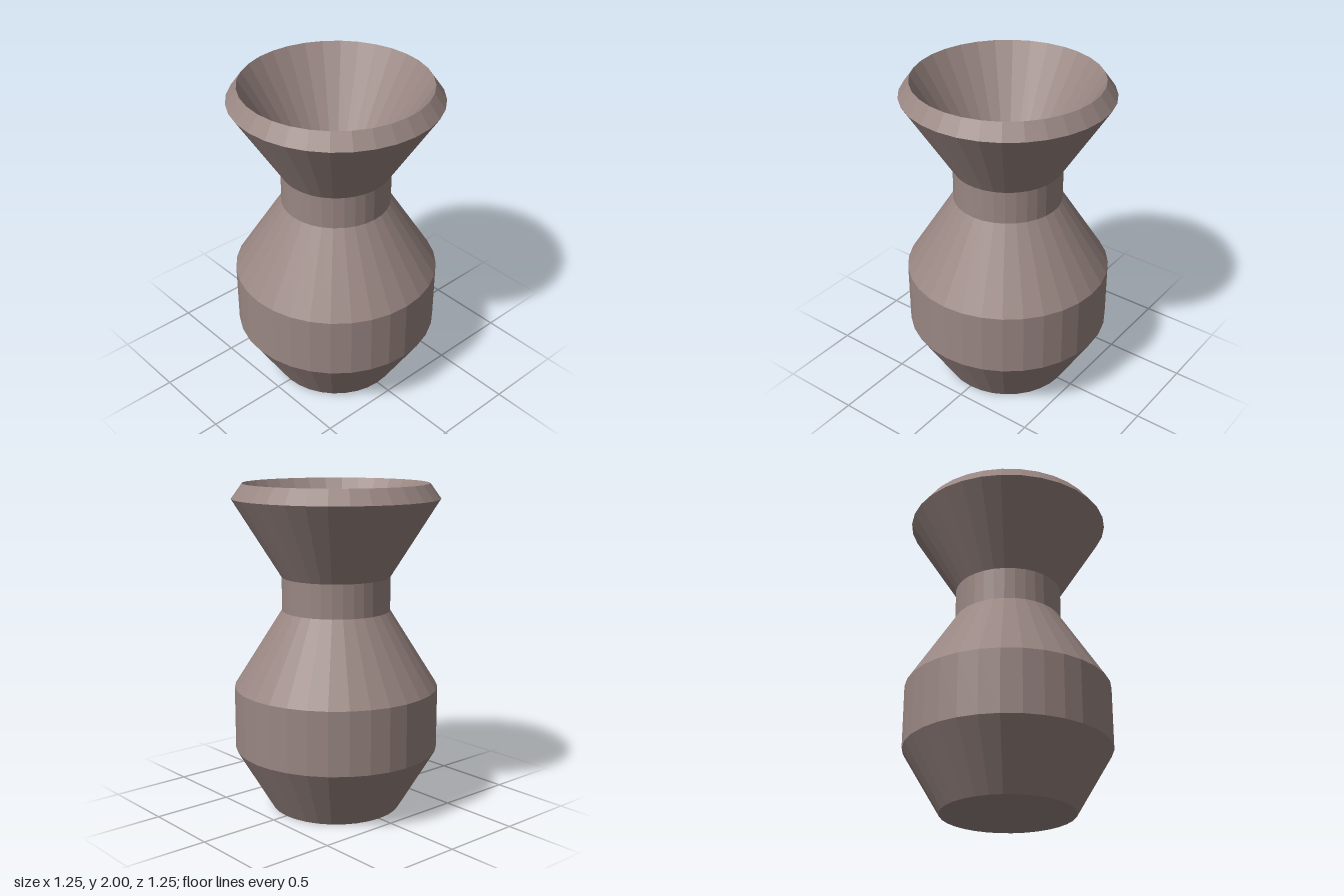
import * as THREE from 'three';

export function createModel() {
  const model = new THREE.Group();
  model.name = 'vase';

  const material = new THREE.MeshStandardMaterial({ color: 0x9a8783, flatShading: true });

  // Turns a [radius, height] profile into a 32-sided faceted surface
  function addLathe(name, profile) {
    const points = profile.map(([r, y]) => new THREE.Vector2(r, y));
    const mesh = new THREE.Mesh(new THREE.LatheGeometry(points, 32), material);
    mesh.name = name;
    model.add(mesh);
  }

  // Base, belly, shoulder, neck and flared mouth
  addLathe('outerWall', [
    [0, 0], [0.4, 0], [0.625, 0.38], [0.625, 0.767],
    [0.33, 1.235], [0.33, 1.44], [0.625, 1.91],
  ]);

  // Bevelled lip joining the outer and inner walls
  addLathe('rim', [[0.625, 1.91], [0.56, 2]]);

  // Hollow inside, running down from the lip to the floor
  addLathe('innerWall', [
    [0.56, 2], [0.25, 1.488], [0.25, 1.187],
    [0.543, 0.719], [0.543, 0.428], [0.364, 0.12], [0, 0.12],
  ]);

  return model;
}
